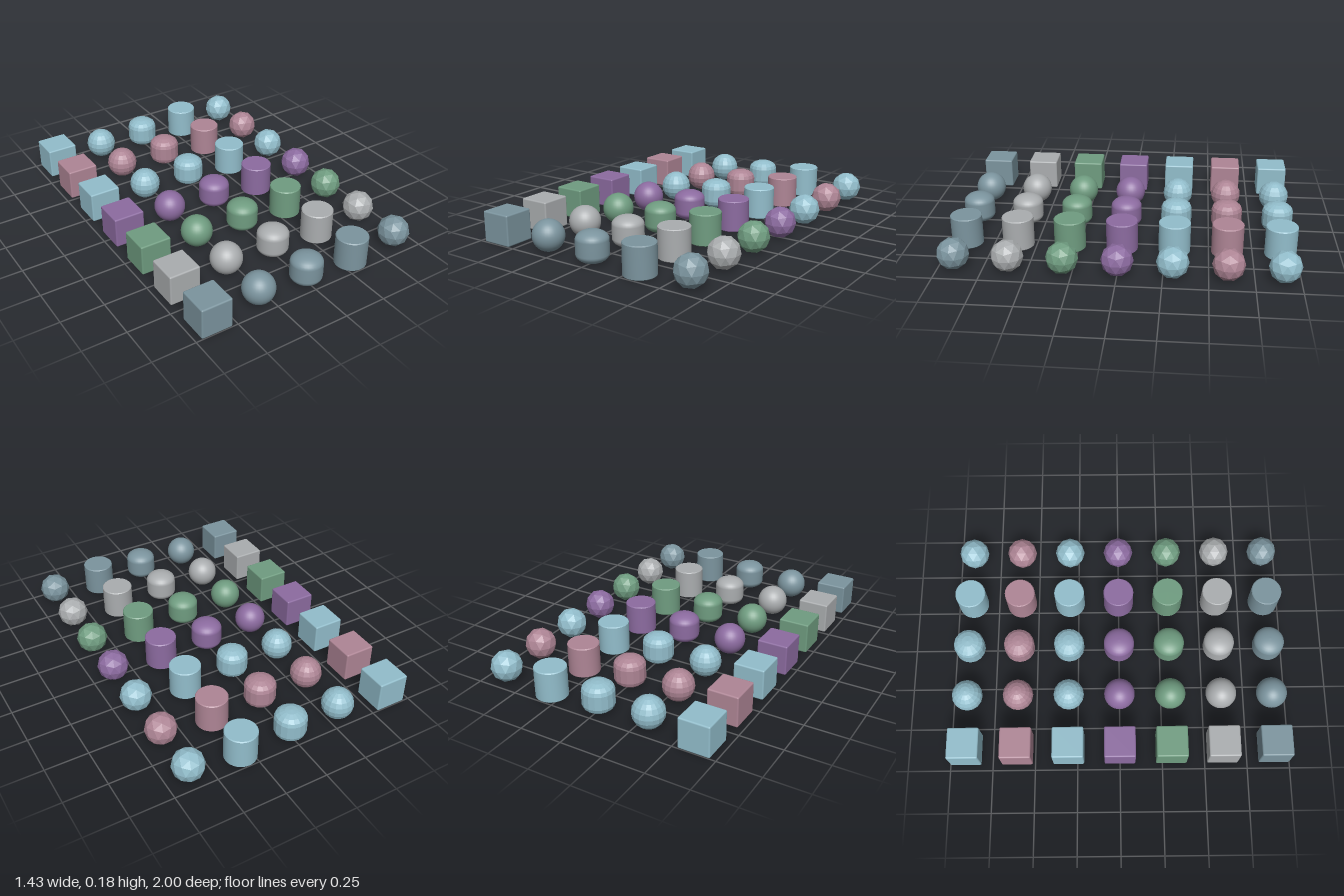
import * as THREE from 'three';
import { toCreasedNormals } from 'three/addons/utils/BufferGeometryUtils.js';
import { RoundedBoxGeometry } from 'three/addons/geometries/RoundedBoxGeometry.js';

const SIZE = 0.183, R = SIZE / 2;
const STEP_X = 0.312, STEP_Z = 0.303;

// Split all faces so each one is shaded flat
function flat(geometry) {
  const g = geometry.index ? geometry.toNonIndexed() : geometry;
  g.computeVertexNormals();
  return g;
}

// Upright drum with narrow bevelled rims
function drum() {
  const b = 0.005;
  const profile = [[0, -R], [R - b, -R], [R, -R + b], [R, R - b], [R - b, R], [0, R]];
  return toCreasedNormals(new THREE.LatheGeometry(profile.map(p => new THREE.Vector2(...p)), 32), 0.6);
}

// Short barrel: straight middle with flattened domes
function barrel(segments, steps) {
  const dome = 0.052, profile = [];
  for (const side of [-1, 1]) {
    for (let i = 0; i <= steps; i++) {
      const a = (side < 0 ? steps - i : i) / steps * Math.PI / 2;
      profile.push(new THREE.Vector2(Math.max(0, R * Math.cos(a)), side * (R - dome + dome * Math.sin(a))));
    }
  }
  return new THREE.LatheGeometry(profile, segments);
}

// Faceted ball with one corner straight up
function gem(detail) {
  const g = new THREE.IcosahedronGeometry(R, detail);
  g.rotateX(-Math.atan2((1 + Math.sqrt(5)) / 2, 1));
  g.rotateY(Math.PI / 2);
  return flat(g);
}

export function createModel() {
  const model = new THREE.Group();
  const paint = (name, color) => {
    const m = new THREE.MeshStandardMaterial({ color });
    m.name = name;
    return m;
  };
  const blue = paint('light blue', 0x92bdcb);
  const rose = paint('rose', 0xae8595);
  const purple = paint('purple', 0x8c6ba0);
  const green = paint('green', 0x6f9c80);
  const grey = paint('grey', 0xaaadaf);
  const slate = paint('slate', 0x7b949e);
  const rows = [blue, rose, blue, purple, green, grey, slate];

  // Columns from right to left; the three back rows use coarser rounded shapes
  const box = new RoundedBoxGeometry(SIZE, SIZE, SIZE, 2, 0.009);
  const cylinder = drum();
  const icoBall = gem(1);
  const smooth = [box, new THREE.SphereGeometry(R, 32, 20), barrel(32, 8), cylinder, icoBall];
  const coarse = [box, flat(new THREE.SphereGeometry(R, 16, 10)), flat(barrel(16, 4)), cylinder, icoBall];
  const names = ['cube', 'ball', 'barrel', 'cylinder', 'facetedBall'];

  rows.forEach((material, r) => {
    const row = new THREE.Group();
    row.name = `row${r + 1}`;
    row.position.set(0, R, (r - 3) * STEP_Z);
    (r < 3 ? coarse : smooth).forEach((geometry, c) => {
      const mesh = new THREE.Mesh(geometry, material);
      mesh.name = names[c];
      mesh.position.x = (c - 2) * STEP_X;
      row.add(mesh);
    });
    model.add(row);
  });
  return model;
}
